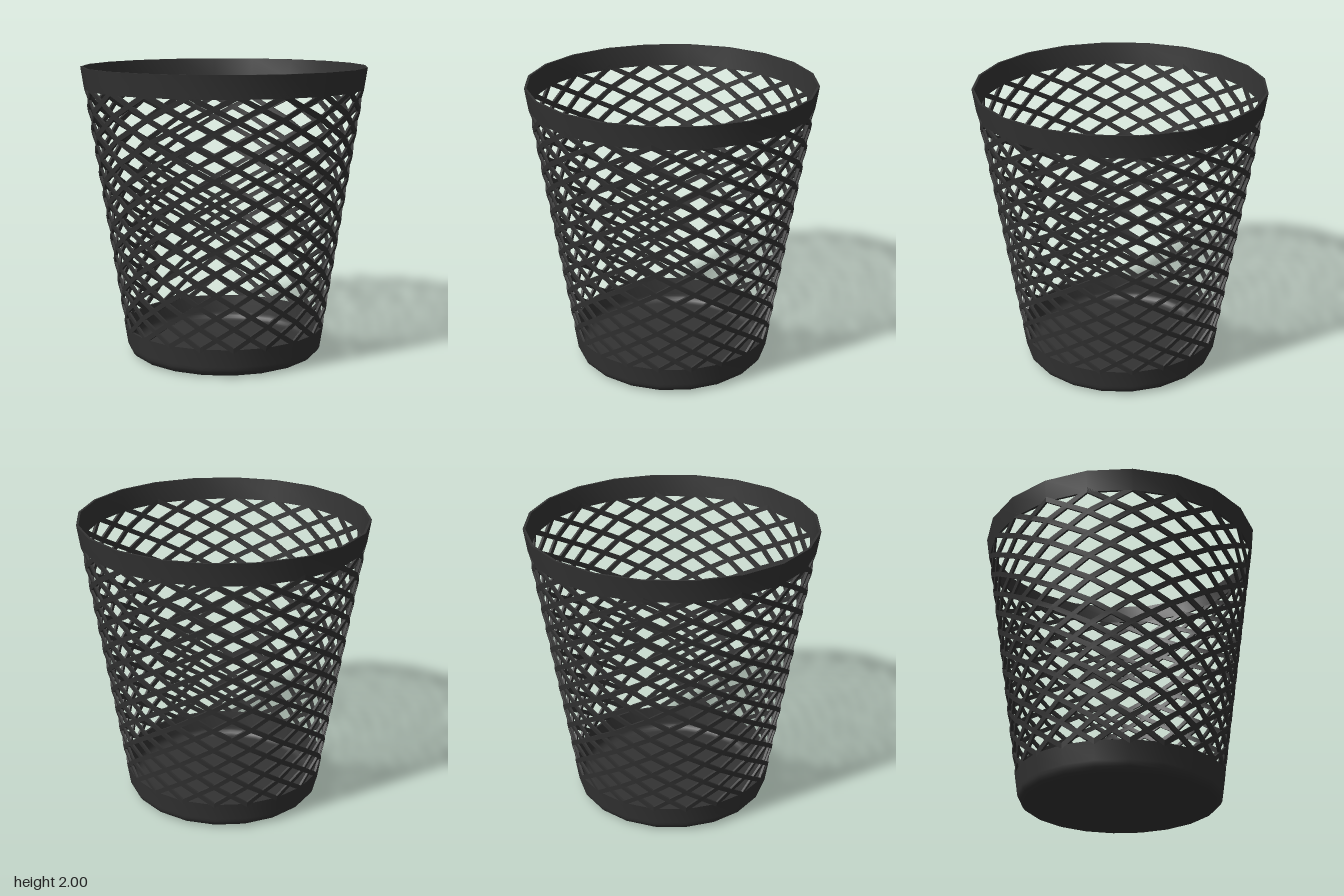
import * as THREE from 'three';
import { toCreasedNormals } from 'three/addons/utils/BufferGeometryUtils.js';

const SIDES = 20;          // facets around the basket
const ROWS = 11;           // lattice rows
const Y0 = 0.193, Y1 = 1.865;
const WALL = 0.016;
const radius = (y) => 0.675 + 0.151 * y;   // outer cone

// Turned part from [radius, height] pairs, with sharp rims and smooth sides
function turned(points, material, name) {
  const profile = points.map(([r, y]) => new THREE.Vector2(r, y));
  const mesh = new THREE.Mesh(toCreasedNormals(new THREE.LatheGeometry(profile, SIDES), 0.55), material);
  mesh.name = name;
  return mesh;
}

// One flat strip climbing the cone, one facet per row; dir is +1 or -1
function stripGeometry(dir) {
  const half = 0.019;                       // half height of the slanted strip
  const pos = [], index = [];
  for (let i = 0; i <= ROWS; i++) {
    const a = dir * i * Math.PI * 2 / SIDES;
    const y = Y0 + (Y1 - Y0) * i / ROWS;
    for (const [depth, dy] of [[0, -half], [0, half], [WALL, half], [WALL, -half]]) {
      const r = radius(y + dy) - depth;
      pos.push(r * Math.sin(a), y + dy, r * Math.cos(a));
    }
  }
  for (let i = 0; i < ROWS; i++) {
    for (let k = 0; k < 4; k++) {
      const a = i * 4 + k, b = i * 4 + (k + 1) % 4, c = a + 4, d = b + 4;
      if (dir > 0) index.push(a, c, b, b, c, d);
      else index.push(a, b, c, b, d, c);
    }
  }
  const geometry = new THREE.BufferGeometry();
  geometry.setAttribute('position', new THREE.Float32BufferAttribute(pos, 3));
  geometry.setIndex(index);
  return toCreasedNormals(geometry, 0.55);
}

export function createModel() {
  const basket = new THREE.Group();
  basket.name = 'wasteBasket';
  const plastic = new THREE.MeshStandardMaterial({ color: 0x333333 });
  plastic.name = 'charcoal plastic';

  // Solid base cup with rounded bottom corner, outside then inside
  const outer = [[0, 0]], inner = [];
  for (let i = 0; i <= 6; i++) {
    const t = i / 6 * Math.PI / 2;
    const s = Math.sin(t), c = 1 - Math.cos(t);
    outer.push([0.61 + 0.076 * s, 0.075 * c]);
    inner.unshift([0.605 + 0.065 * s, WALL + 0.062 * c]);
  }
  basket.add(turned([...outer, [radius(0.2), 0.2], [radius(0.2) - WALL, 0.2], ...inner, [0, WALL]],
    plastic, 'base'));

  // Rim band
  const low = radius(1.85), high = radius(2);
  basket.add(turned([[low - WALL, 1.85], [low, 1.85], [high, 2], [high - WALL, 2], [low - WALL, 1.85]],
    plastic, 'rim'));

  // Lattice of strips winding both ways
  const lattice = new THREE.Group();
  lattice.name = 'lattice';
  for (const dir of [1, -1]) {
    const geometry = stripGeometry(dir);
    for (let i = 0; i < SIDES; i++) {
      const strip = new THREE.Mesh(geometry, plastic);
      strip.name = dir > 0 ? 'risingStrip' : 'fallingStrip';
      strip.rotation.y = i * Math.PI * 2 / SIDES;
      lattice.add(strip);
    }
  }
  basket.add(lattice);
  return basket;
}
